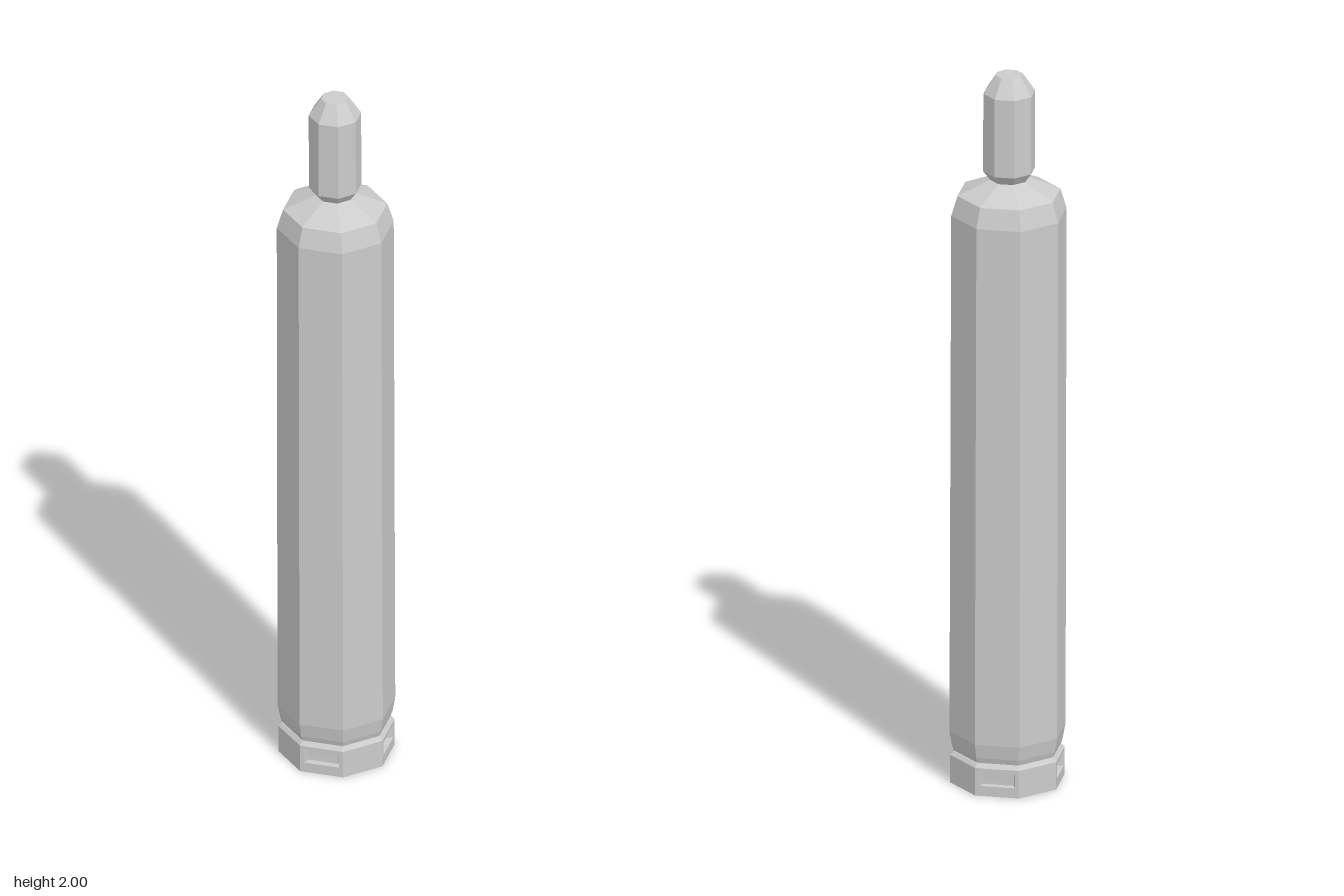
import * as THREE from 'three';

const SIDES = 8;
const material = new THREE.MeshStandardMaterial({ color: 0xcccccc, flatShading: true });

// Slight lean of the whole bottle towards -x and -z
const leanX = (y) => 0.003 - 0.0045 * y;
const leanZ = (y) => -0.0022 * y;

function addMesh(parent, geometry, name) {
  const flat = geometry.index ? geometry.toNonIndexed() : geometry;
  const p = flat.attributes.position;
  for (let i = 0; i < p.count; i++) {
    const y = p.getY(i);
    p.setXYZ(i, p.getX(i) + leanX(y), y, p.getZ(i) + leanZ(y));
  }
  flat.computeVertexNormals();
  const mesh = new THREE.Mesh(flat, material);
  mesh.name = name;
  parent.add(mesh);
}

// Eight-sided turned part from [radius, height] pairs, bottom to top
function turned(profile) {
  return new THREE.LatheGeometry(profile.map(([r, y]) => new THREE.Vector2(r, y)), SIDES);
}

// One wall of the foot ring, mitred towards the axis, optionally slotted
function footWall(radius, thickness, height, slotted) {
  const half = radius * Math.sin(Math.PI / SIDES);
  const apothem = radius * Math.cos(Math.PI / SIDES);
  const shape = new THREE.Shape([
    new THREE.Vector2(-half, 0), new THREE.Vector2(half, 0),
    new THREE.Vector2(half, height), new THREE.Vector2(-half, height),
  ]);
  if (slotted) {
    shape.holes.push(new THREE.Path([
      new THREE.Vector2(-0.048, 0.028), new THREE.Vector2(-0.048, 0.068),
      new THREE.Vector2(0.048, 0.068), new THREE.Vector2(0.048, 0.028),
    ]));
  }
  const geometry = new THREE.ExtrudeGeometry(shape, { depth: thickness, bevelEnabled: false });
  geometry.translate(0, 0, apothem - thickness);
  const p = geometry.attributes.position;
  for (let i = 0; i < p.count; i++) p.setX(i, p.getX(i) * p.getZ(i) / apothem);
  return geometry;
}

export function createModel() {
  const model = new THREE.Group();
  model.name = 'gasCylinder';

  // Tank with rounded-off bottom edge and sloping shoulder
  addMesh(model, turned([
    [0, 0.085], [0.145, 0.09], [0.15, 0.105], [0.157, 0.145],
    [0.156, 1.61], [0.139, 1.665], [0.05, 1.705], [0, 1.705],
  ]), 'tank');

  // Valve cap
  addMesh(model, turned([
    [0, 1.695], [0.048, 1.7], [0.07, 1.73], [0.07, 1.95], [0.037, 2], [0, 2],
  ]), 'valveCap');

  // Foot ring: eight walls, every other one slotted
  const foot = new THREE.Group();
  foot.name = 'footRing';
  model.add(foot);
  for (let i = 0; i < SIDES; i++) {
    const slotted = i % 2 === 0;
    const wall = footWall(0.155, 0.018, 0.078, slotted);
    wall.rotateY((i + 0.5) * 2 * Math.PI / SIDES);
    addMesh(foot, wall, slotted ? 'slottedWall' : 'plainWall');
  }
  // Sloped rim joining the foot ring to the tank
  addMesh(foot, turned([[0, 0.078], [0.155, 0.078], [0.146, 0.088], [0, 0.088]]), 'footRim');

  return model;
}
